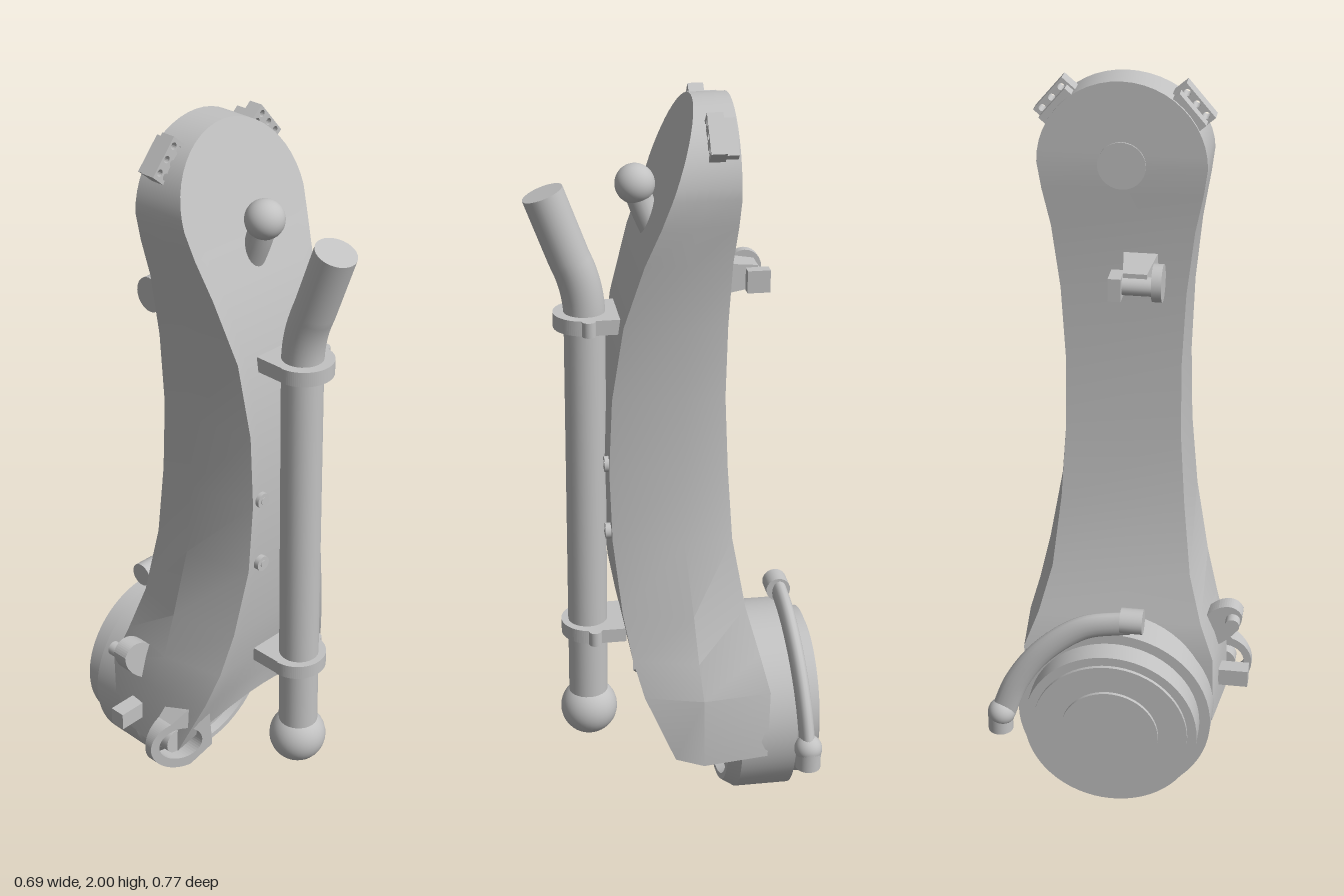
import * as THREE from 'three';
import { toCreasedNormals } from 'three/addons/utils/BufferGeometryUtils.js';

export function createModel() {
  const model = new THREE.Group();
  const grey = new THREE.MeshStandardMaterial({ color: 0xc2c2c2 });
  grey.name = 'grey';
  const add = (name, geo, x = 0, y = 0, z = 0) => {
    const mesh = new THREE.Mesh(geo, grey);
    mesh.name = name;
    mesh.position.set(x, y, z);
    model.add(mesh);
    return mesh;
  };
  const v = (x, y, z) => new THREE.Vector3(x, y, z);
  const rodX = (r, len) => new THREE.CylinderGeometry(r, r, len, 24).rotateZ(Math.PI / 2);
  const rodZ = (r, len) => new THREE.CylinderGeometry(r, r, len, 28).rotateX(Math.PI / 2);
  const ball = (r) => new THREE.SphereGeometry(r, 32, 20);
  const curve = (pts) => new THREE.CatmullRomCurve3(pts);

  // Body stations: y, front half width, front z, side half width, side z, back half width, back z
  const rows = [
    [0.30, 0.265, 0.085, 0.285, -0.04, 0.262, -0.22],
    [0.42, 0.235, 0.115, 0.278, -0.04, 0.26, -0.225],
    [0.52, 0.205, 0.142, 0.25, -0.03, 0.222, -0.20],
    [0.65, 0.175, 0.165, 0.22, -0.02, 0.187, -0.165],
    [0.85, 0.14, 0.185, 0.185, 0, 0.165, -0.13],
    [1.05, 0.13, 0.19, 0.168, 0, 0.152, -0.118],
    [1.25, 0.13, 0.18, 0.163, 0, 0.15, -0.11],
    [1.45, 0.145, 0.15, 0.17, 0, 0.16, -0.113],
    [1.62, 0.18, 0.10, 0.187, -0.01, 0.18, -0.12],
    [1.72, 0.20, 0.06, 0.203, -0.03, 0.20, -0.13],
  ];
  // Rounded head
  for (let i = 0; i <= 12; i++) {
    const a = (i / 12) * Math.PI / 2, s = Math.sin(a), w = 0.21 * Math.cos(a);
    rows.push([1.79 + 0.21 * s, w, 0.035 - 0.075 * s, w, -0.05 - 0.03 * s, w, -0.135]);
  }
  const F = 10, N = F + 5, pos = [], idx = [];
  rows.forEach(([y, wf, zf, ws, zs, wb, zb], r) => {
    for (let k = 0; k <= F; k++) {
      const t = (k / F) * 2 - 1;
      // the lowest front edge is an arch
      pos.push(t * wf, r === 0 ? 0.235 + 0.125 * (1 - t * t) : y, zf - (r === 0 ? 0.07 * t * t - 0.02 : 0));
    }
    const low = r === 0 ? 0.22 : y;
    pos.push(ws, low, zs, wb, low, zb, -wb, low, zb, -ws, low, zs);
  });
  for (let r = 0; r < rows.length - 1; r++) {
    for (let i = 0; i < N; i++) {
      const a = r * N + i, b = r * N + (i + 1) % N;
      idx.push(a, b, b + N, a, b + N, a + N);
    }
  }
  // hollow underside
  const mid = pos.length / 3;
  pos.push(0, 0.37, -0.1);
  for (let i = 0; i < N; i++) idx.push(mid, (i + 1) % N, i);
  const body = new THREE.BufferGeometry();
  body.setAttribute('position', new THREE.Float32BufferAttribute(pos, 3));
  body.setIndex(idx);
  add('body', toCreasedNormals(body, 0.45));

  // Stepped drum at the foot
  const profile = [[0, -0.385], [0.132, -0.385], [0.132, -0.376], [0.21, -0.376], [0.21, -0.366], [0.235, -0.366],
    [0.235, -0.30], [0.264, -0.30], [0.264, -0.15], [0.242, -0.115], [0.226, -0.115], [0.222, -0.14], [0, -0.14]];
  const drum = new THREE.LatheGeometry(profile.map((p) => new THREE.Vector2(...p)), 64).rotateX(Math.PI / 2);
  add('drum', toCreasedNormals(drum, 0.5), 0, 0.268, 0);
  add('drumPin', rodZ(0.02, 0.14), 0.09, 0.3, -0.08);

  // Flattened lever curving over the drum
  const arm = new THREE.TubeGeometry(curve([v(-0.04, 0.575, 0.012), v(0.08, 0.55, 0.008), v(0.19, 0.47, -0.004),
    v(0.262, 0.37, -0.014), v(0.308, 0.25, -0.022)]), 30, 0.034, 16).scale(1, 1, 0.62);
  add('leverArm', arm, 0, 0, -0.309);
  add('leverTopBarrel', rodX(0.034, 0.06), -0.05, 0.58, -0.298);
  add('leverKnob', ball(0.038), 0.307, 0.265, -0.323);
  add('leverEndBarrel', new THREE.CylinderGeometry(0.034, 0.034, 0.055, 24), 0.311, 0.237, -0.323);

  // Front tube with bent top and ball foot
  const bend = new THREE.CurvePath();
  bend.add(new THREE.LineCurve3(v(0, 0.3, 0.245), v(0, 1.44, 0.233)));
  bend.add(new THREE.QuadraticBezierCurve3(v(0, 1.44, 0.233), v(0, 1.52, 0.235), v(0, 1.59, 0.268)));
  bend.add(new THREE.LineCurve3(v(0, 1.59, 0.268), v(0, 1.765, 0.332)));
  add('tube', new THREE.TubeGeometry(bend, 90, 0.054, 28));
  const cap = add('tubeCap', new THREE.CircleGeometry(0.054, 28), 0, 1.765, 0.332);
  cap.rotation.x = -Math.PI / 2 + Math.atan2(0.064, 0.175);
  add('tubeBall', ball(0.079), 0, 0.265, 0.244);

  // Clamps holding the tube
  const clamp = new THREE.Shape();
  clamp.moveTo(-0.078, -0.145);
  clamp.lineTo(-0.078, -0.235);
  clamp.absarc(0, -0.235, 0.08, Math.PI, Math.PI * 2, false);
  clamp.lineTo(0.08, -0.145);
  const clampGeo = new THREE.ExtrudeGeometry(clamp, { depth: 0.04, bevelEnabled: false, curveSegments: 24 })
    .rotateX(-Math.PI / 2);
  for (const y of [1.43, 0.53]) {
    add('clamp', clampGeo, 0, y - 0.02, 0);
    add('clampEar', new THREE.CylinderGeometry(0.018, 0.018, 0.04, 16), 0.08, y, 0.23);
  }

  // Ball hook on the head
  add('hookBall', ball(0.051), 0, 1.78, 0.1);
  add('hookStem', new THREE.TubeGeometry(curve([v(0, 1.78, 0.1), v(0, 1.72, 0.08), v(0, 1.65, 0.05)]), 10, 0.034, 18));

  // Face bolts
  for (const x of [-0.1, 0.1]) {
    for (const y of [1.06, 0.865]) {
      add('bolt', rodZ(0.021, 0.022), x, y, 0.189);
      add('boltCentre', rodZ(0.01, 0.01), x, y, 0.197);
    }
  }

  // Perforated blocks on the head shoulders
  const block = new THREE.Shape();
  block.moveTo(-0.055, -0.035).lineTo(0.055, -0.035).lineTo(0.055, 0.03).lineTo(-0.055, 0.03);
  for (const x of [-0.036, 0, 0.036]) {
    for (const y of [-0.008, 0.016]) {
      block.holes.push(new THREE.Path().absarc(x, y, 0.009, 0, Math.PI * 2, true));
    }
  }
  const blockGeo = new THREE.ExtrudeGeometry(block, { depth: 0.04, bevelEnabled: false, curveSegments: 8 });
  for (const s of [-1, 1]) {
    add('shoulderBlock', blockGeo, s * 0.164, 1.93, -0.096).rotation.z = -s * 0.86;
    add('shoulderBlockBack', new THREE.BoxGeometry(0.1, 0.05, 0.032), s * 0.152, 1.92, -0.112).rotation.z = -s * 0.86;
  }
  add('headDisc', rodZ(0.06, 0.012), 0, 1.79, -0.133);

  // Catch on the back: tapered post, half-round plate and tip
  const post = new THREE.CylinderGeometry(0.042, 0.062, 0.11, 4).rotateY(Math.PI / 4).rotateX(-Math.PI / 2);
  add('catchPost', toCreasedNormals(post, 0.4), -0.045, 1.515, -0.165);
  add('catchDisc', rodX(0.048, 0.025).scale(1, 1, 0.95), -0.1, 1.515, -0.198);
  add('catchBar', rodX(0.024, 0.1), -0.04, 1.51, -0.213);
  add('catchTip', new THREE.BoxGeometry(0.032, 0.06, 0.06), 0.002, 1.51, -0.218);

  // Eyelet lug at the lower right corner
  const lug = new THREE.Shape();
  lug.moveTo(-0.2, 0.43);
  lug.lineTo(-0.26, 0.38);
  lug.absarc(-0.27, 0.272, 0.08, 1.9, 5.0, false);
  lug.lineTo(-0.19, 0.25);
  lug.holes.push(new THREE.Path().absellipse(-0.272, 0.275, 0.056, 0.052, 0, Math.PI * 2, true));
  const lugGeo = new THREE.ExtrudeGeometry(lug, { depth: 0.04, bevelEnabled: false, curveSegments: 24 });
  const p = lugGeo.attributes.position;
  for (let i = 0; i < p.count; i++) { // slope the front towards the body
    if (p.getZ(i) > 0.01) p.setZ(i, 0.015 + (p.getX(i) + 0.35) * 0.5);
    else p.setZ(i, -0.008);
  }
  lugGeo.computeVertexNormals();
  add('lug', lugGeo);
  add('lugPin', rodZ(0.036, 0.04), -0.268, 0.27, 0.012);

  // Rounded wing clip on the right side
  const wing = new THREE.Shape();
  wing.moveTo(-0.2, 0.38);
  wing.lineTo(-0.25, 0.41);
  wing.quadraticCurveTo(-0.33, 0.46, -0.33, 0.52);
  wing.quadraticCurveTo(-0.31, 0.56, -0.265, 0.54);
  wing.quadraticCurveTo(-0.23, 0.52, -0.2, 0.47);
  add('wingClip', new THREE.ExtrudeGeometry(wing, { depth: 0.045, bevelEnabled: false }), 0, 0, -0.145);
  add('wingBump', rodZ(0.02, 0.06), -0.305, 0.505, -0.145);
  add('wingFoot', new THREE.BoxGeometry(0.1, 0.05, 0.045), -0.3, 0.31, -0.12);

  return model;
}
